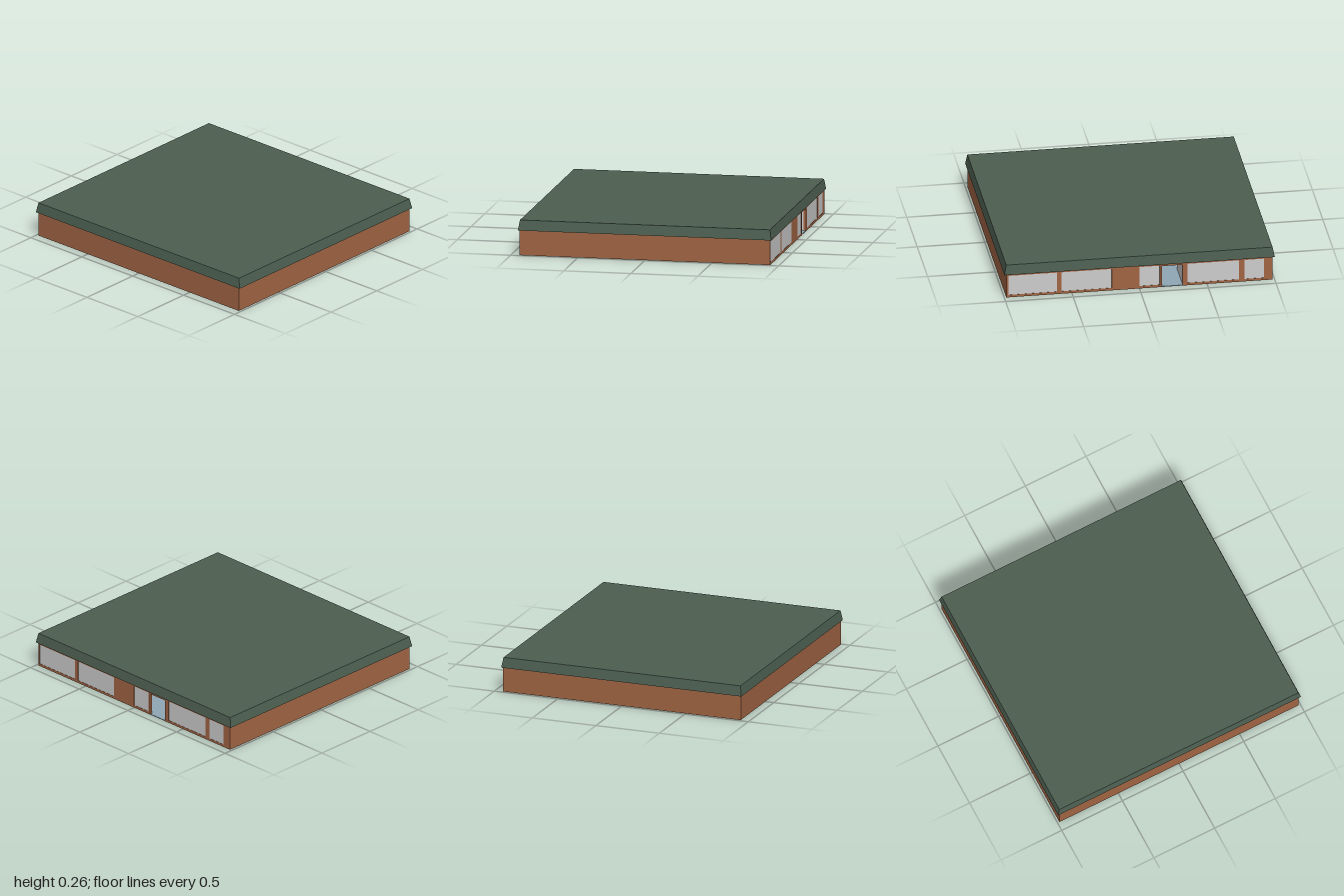
import * as THREE from 'three';

export function createModel() {
  const mat = (name, color) => {
    const m = new THREE.MeshStandardMaterial({ color });
    m.name = name;
    return m;
  };
  const brick = mat('brick brown', 0xa06443);
  const green = mat('roof green', 0x4c5e50);
  const slate = mat('floor blue grey', 0x8fa6b5);
  const pale = mat('pale grey', 0xcccccc);

  const root = new THREE.Group();
  root.name = 'building';
  const X = 0.985, Z = 0.935, H = 0.19, T = 0.02;

  // Box given by its extents
  const box = (name, material, x0, x1, y0, y1, z0, z1, parent = root) => {
    const mesh = new THREE.Mesh(new THREE.BoxGeometry(x1 - x0, y1 - y0, z1 - z0), material);
    mesh.position.set((x0 + x1) / 2, (y0 + y1) / 2, (z0 + z1) / 2);
    mesh.name = name;
    parent.add(mesh);
    return mesh;
  };

  // Floor slab, ceiling and plain walls
  box('floor', slate, -X + 0.002, X - 0.002, 0, 0.005, -Z + 0.002, Z - 0.002);
  box('ceiling', brick, -X + T, X - T, H - 0.012, H - 0.004, -Z + T, Z - T);
  box('frontWall', brick, -X, X, 0.001, H, Z - T, Z);
  for (const s of [-1, 1]) {
    const xs = [s * X, s * (X - T)].sort((a, b) => a - b);
    box(s > 0 ? 'leftWall' : 'rightWall', brick, xs[0], xs[1], 0.001, H, -Z + T, Z - T);
  }

  // Back wall with a doorway notch and window openings
  const doorL = -0.165, doorR = -0.32, doorTop = 0.17;
  const windows = [[0.61, 0.97], [0.205, 0.575], [-0.15, 0], [-0.735, -0.355], [-0.92, -0.775]];
  const w0 = 0.02, w1 = 0.175;
  const shape = new THREE.Shape([
    [-X, 0.001], [doorR, 0.001], [doorR, doorTop], [doorL, doorTop],
    [doorL, 0.001], [X, 0.001], [X, H], [-X, H],
  ].map(([x, y]) => new THREE.Vector2(x, y)));
  for (const [a, b] of windows) {
    shape.holes.push(new THREE.Path([
      [a, w0], [a, w1], [b, w1], [b, w0],
    ].map(([x, y]) => new THREE.Vector2(x, y))));
  }
  const back = new THREE.Mesh(
    new THREE.ExtrudeGeometry(shape, { depth: T, bevelEnabled: false }), brick);
  back.position.z = -Z;
  back.name = 'backWall';
  root.add(back);

  // Window panes set just inside the wall face
  const panes = new THREE.Group();
  panes.name = 'windows';
  root.add(panes);
  for (const [a, b] of windows) box('windowPane', pale, a, b, w0, w1, -Z + 0.002, -Z + 0.009, panes);

  // Door leaf standing open into the room
  box('openDoor', pale, doorR - 0.008, doorR, 0.005, H - 0.012, -Z + T, -Z + T + 0.25);

  // Flat roof with fascia leaning slightly inwards to the top
  const roof = box('roof', green, -1, 1, 0.187, 0.263, -0.945, 0.945);
  const p = roof.geometry.attributes.position;
  for (let i = 0; i < p.count; i++) {
    if (p.getY(i) > 0) {
      p.setX(i, p.getX(i) * 0.985);
      p.setZ(i, p.getZ(i) * 0.987);
    }
  }
  roof.geometry.computeVertexNormals();

  return root;
}
